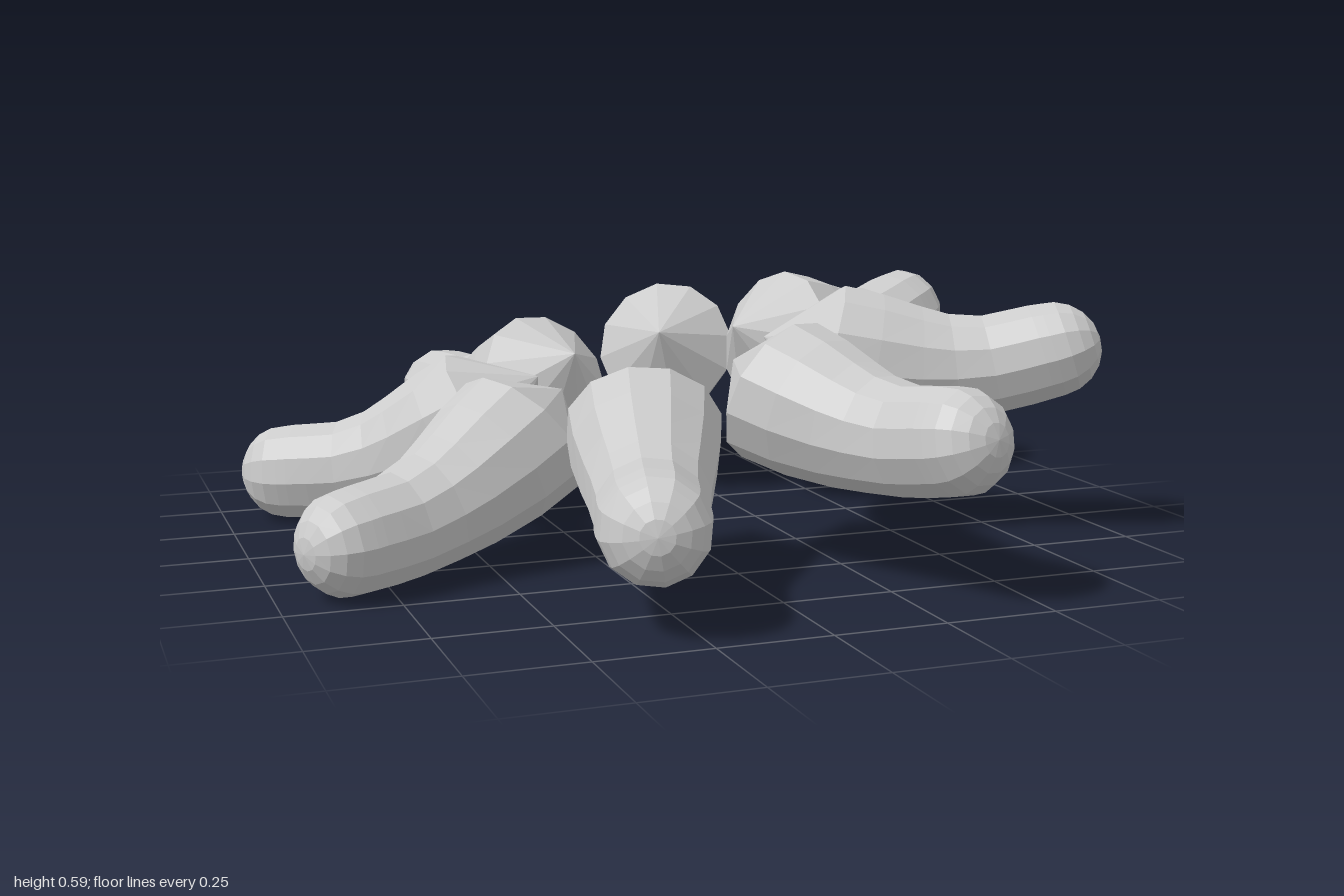
import * as THREE from 'three';

const SIDES = 12;
const rad = THREE.MathUtils.degToRad;

// Cross-sections of one arm: distance from centre, height, radius, pitch (degrees)
const stations = [
  [0.277, 0.142, 0, -27], // apex of the inner cone
  [0.41, 0.075, 0.175, -27],
  [0.52, 0.04, 0.165, -20],
  [0.63, 0.01, 0.145, -12],
  [0.71, -0.005, 0.13, -4],
  [0.80, -0.012, 0.121, 3],
  [0.87, -0.006, 0.12, 6],
  [0.92, 0, 0.118, 8],
];
// Rounded outer end
const CAP = 5, CAP_R = 0.116, PITCH = 8;
for (let i = 0; i <= CAP; i++) {
  const a = (i / CAP) * Math.PI / 2, d = Math.sin(a) * CAP_R;
  stations.push([
    0.945 + d * Math.cos(rad(PITCH)), 0.002 + d * Math.sin(rad(PITCH)),
    i === CAP ? 0 : Math.cos(a) * CAP_R, PITCH,
  ]);
}

// One arm leaving the centre at the given angle, mirrored by the signs sx and sz
function armGeometry(angle, sx, sz) {
  const positions = [], index = [];
  for (const [r, h, radius, pitch] of stations) {
    for (let j = 0; j < SIDES; j++) {
      const t = (j / SIDES) * Math.PI * 2;
      const up = Math.cos(t) * radius, side = Math.sin(t) * radius;
      const x = r - Math.sin(rad(pitch)) * up;
      const y = h + Math.cos(rad(pitch)) * up;
      // slight sideways sweep along the arm
      const phi = rad(angle + 3.5 * (r - 0.277) / 0.67);
      positions.push(
        sx * (x * Math.cos(phi) - side * Math.sin(phi)), y,
        sz * (x * Math.sin(phi) + side * Math.cos(phi)));
    }
  }
  const tri = (a, b, c) => index.push(...(sx * sz > 0 ? [a, b, c] : [a, c, b]));
  for (let i = 0; i < stations.length - 1; i++) {
    for (let j = 0; j < SIDES; j++) {
      const k = (j + 1) % SIDES;
      const a = i * SIDES + j, b = i * SIDES + k;
      const c = a + SIDES, d = b + SIDES;
      if (stations[i][2] > 0) tri(a, b, c);
      if (stations[i + 1][2] > 0) tri(b, d, c);
    }
  }
  const indexed = new THREE.BufferGeometry();
  indexed.setAttribute('position', new THREE.Float32BufferAttribute(positions, 3));
  indexed.setIndex(index);
  const geometry = indexed.toNonIndexed();
  geometry.computeVertexNormals();
  return geometry;
}

export function createModel() {
  const model = new THREE.Group();
  model.name = 'armRing';
  const material = new THREE.MeshStandardMaterial({ color: 0xcccccc, flatShading: true });

  // Eight arms in a ring, the whole ring leaning to one side
  const ring = new THREE.Group();
  ring.name = 'tiltedRing';
  ring.position.y = 0.29;
  ring.rotation.z = rad(11);
  for (const sx of [1, -1]) {
    for (const sz of [1, -1]) {
      for (const [part, angle] of [['SideArm', 21], ['EndArm', 65.5]]) {
        const arm = new THREE.Mesh(armGeometry(angle, sx, sz), material);
        arm.name = (sz > 0 ? 'front' : 'back') + (sx > 0 ? 'Left' : 'Right') + part;
        ring.add(arm);
      }
    }
  }
  model.add(ring);
  return model;
}
